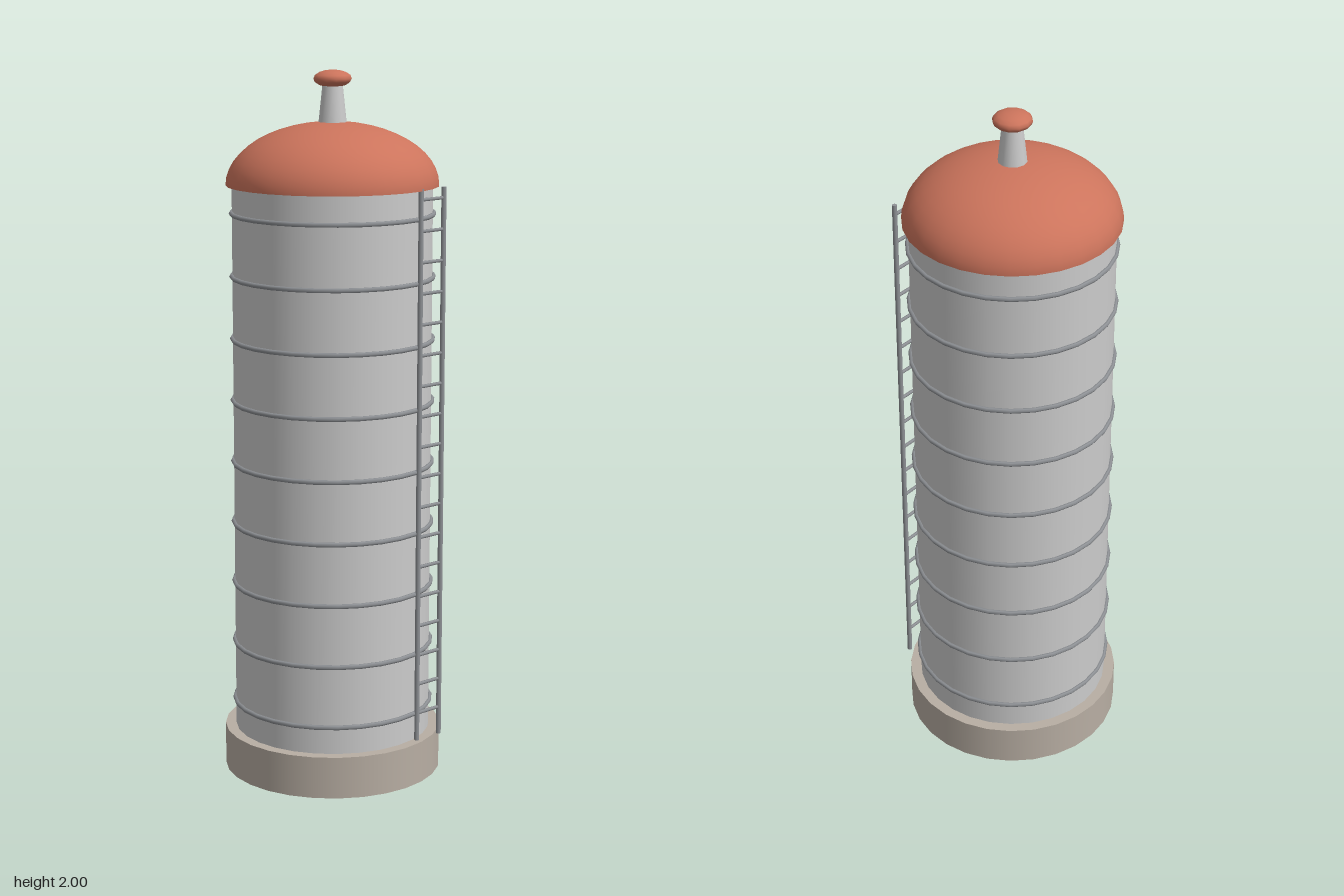
import * as THREE from 'three';

const paint = (color, side = THREE.FrontSide) => new THREE.MeshStandardMaterial({ color, side });

export function createModel() {
  const silo = new THREE.Group();
  silo.name = 'silo';
  const wall = paint(0xc6c8ca);
  const steel = paint(0x8f9296);
  const stone = paint(0xb8aea3);
  const red = paint(0xcc745c, THREE.DoubleSide);

  const add = (name, geometry, material, x = 0, y = 0, z = 0, parent = silo) => {
    const mesh = new THREE.Mesh(geometry, material);
    mesh.name = name;
    mesh.position.set(x, y, z);
    parent.add(mesh);
    return mesh;
  };

  // Foundation and tank wall
  add('foundation', new THREE.CylinderGeometry(0.311, 0.311, 0.12, 28), stone, 0, 0.06);
  add('tankWall', new THREE.CylinderGeometry(0.28, 0.28, 1.58, 28), wall, 0, 0.9);

  // Evenly spaced hoops round the wall
  const hoops = new THREE.Group();
  hoops.name = 'hoops';
  silo.add(hoops);
  const hoopGeometry = new THREE.TorusGeometry(0.282, 0.007, 6, 28).rotateX(Math.PI / 2);
  for (let i = 0; i < 9; i++) {
    add('hoop', hoopGeometry, steel, 0, 0.198 + i * 0.176, 0, hoops);
  }

  // Overhanging open dome, a flattened half sphere
  const dome = new THREE.SphereGeometry(0.297, 28, 12, 0, Math.PI * 2, 0, Math.PI / 2);
  dome.scale(1, 0.175 / 0.297, 1);
  add('domeRoof', dome, red, 0, 1.684);

  // Vent pipe with its flattened cap
  add('ventPipe', new THREE.CylinderGeometry(0.028, 0.042, 0.13, 12), wall, 0, 1.9);
  const cap = new THREE.SphereGeometry(0.054, 12, 8).scale(1, 0.45, 1);
  add('ventCap', cap, red, 0, 1.976);

  // Ladder on the front, offset to the left
  const ladder = new THREE.Group();
  ladder.name = 'ladder';
  ladder.position.set(0.113, 0, 0.282);
  silo.add(ladder);
  const railGeometry = new THREE.CylinderGeometry(0.007, 0.007, 1.57, 8);
  for (const side of [-1, 1]) add('rail', railGeometry, steel, side * 0.043, 0.905, 0, ladder);
  const rungGeometry = new THREE.CylinderGeometry(0.005, 0.005, 0.086, 6).rotateZ(Math.PI / 2);
  for (let i = 0; i < 18; i++) {
    add('rung', rungGeometry, steel, 0, 0.2 + i * 0.0859, 0, ladder);
  }

  return silo;
}
